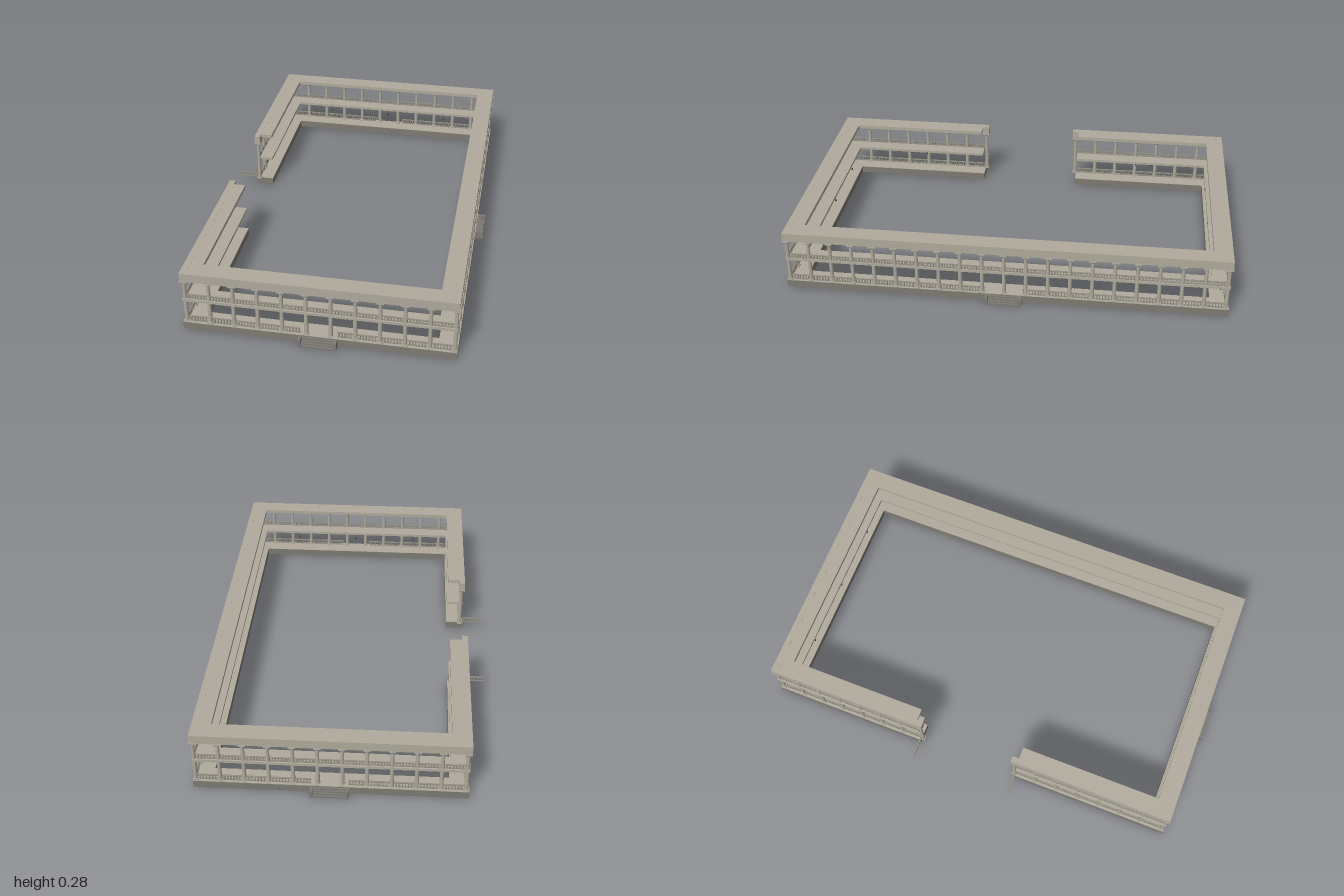
import * as THREE from 'three';
import { mergeGeometries } from 'three/addons/utils/BufferGeometryUtils.js';

const stone = new THREE.MeshStandardMaterial({ color: 0xb0aa9c });
stone.name = 'pale stone';
const baseGrey = new THREE.MeshStandardMaterial({ color: 0x7d7b72 });
baseGrey.name = 'base grey';
const railGrey = new THREE.MeshStandardMaterial({ color: 0x918d81 });
railGrey.name = 'railing grey';
const lampDark = new THREE.MeshStandardMaterial({ color: 0x4a4842 });
lampDark.name = 'lamp dark';

// Outer limits of the courtyard gallery
const W = -0.54, E = 0.585, N = 0.96;

const box = (w, h, d, x, y, z) => new THREE.BoxGeometry(w, h, d).translate(x, y + h / 2, z);

function add(group, name, geometries, material) {
  const mesh = new THREE.Mesh(mergeGeometries(geometries.map(g => g.toNonIndexed())), material);
  mesh.name = name;
  group.add(mesh);
}

// C-shaped slab, open in the middle of the west side
function gallery(inset, width, gap, y0, y1) {
  const x0 = W + inset, x1 = E - inset, z = N - inset;
  const points = [
    [x0, gap], [x0, z], [x1, z], [x1, -z], [x0, -z], [x0, -gap],
    [x0 + width, -gap], [x0 + width, -z + width], [x1 - width, -z + width],
    [x1 - width, z - width], [x0 + width, z - width], [x0 + width, gap],
  ].map(p => new THREE.Vector2(...p));
  const g = new THREE.ExtrudeGeometry(new THREE.Shape(points), { depth: y1 - y0, bevelEnabled: false });
  return g.rotateX(-Math.PI / 2).translate(0, y0, 0);
}

// Straight balustrade between two points, built along x and turned into place
function railing(ax, az, bx, bz, y, h) {
  const length = Math.hypot(bx - ax, bz - az);
  const parts = [
    box(length, 0.004, 0.007, length / 2, y + h - 0.004, 0),
    box(length, 0.003, 0.006, length / 2, y + 0.002, 0),
  ];
  const n = Math.max(2, Math.round(length / 0.0125));
  for (let i = 0; i < n; i++)
    parts.push(box(0.005, h - 0.004, 0.005, (i + 0.5) * length / n, y, 0));
  return mergeGeometries(parts).rotateY(-Math.atan2(bz - az, bx - ax)).translate(ax, 0, az);
}

// Tapered column with square plinth and capital
function column(x, z) {
  return mergeGeometries([
    box(0.022, 0.006, 0.022, 0, 0.035, 0),
    new THREE.CylinderGeometry(0.0075, 0.009, 0.19, 10).translate(0, 0.135, 0),
    new THREE.CylinderGeometry(0.012, 0.008, 0.008, 10).translate(0, 0.227, 0),
    box(0.03, 0.005, 0.03, 0, 0.231, 0),
  ]).translate(x, 0, z);
}

// Steps between two cheek walls, descending toward +z
function stairs(x, z, turn) {
  const parts = [-1, 1].map(s => box(0.012, 0.035, 0.036, s * 0.073, 0, 0.018));
  for (let i = 0; i < 4; i++)
    parts.push(box(0.136, 0.028 - i * 0.007, 0.008, 0, 0, 0.004 + i * 0.008));
  return mergeGeometries(parts).rotateY(turn).translate(x, 0, z);
}

export function createModel() {
  const model = new THREE.Group();
  model.name = 'courtyardGallery';

  // Base, floors and roof
  add(model, 'base', [gallery(0, 0.08, 0.235, 0, 0.033)], baseGrey);
  add(model, 'groundFloor', [gallery(0, 0.08, 0.235, 0.033, 0.035)], stone);
  add(model, 'upperFloor', [gallery(0.003, 0.077, 0.24, 0.137, 0.149)], stone);
  add(model, 'roofSlab', [gallery(0.004, 0.076, 0.245, 0.258, 0.2745)], stone);
  add(model, 'entablature', [gallery(0, 0.027, 0.215, 0.236, 0.275)], stone);

  // Columns along the outer edge
  const cx0 = -0.526, cx1 = 0.574, cz = 0.947;
  const columns = [];
  for (const s of [-1, 1]) {
    for (let i = 0; i < 12; i++) columns.push(column(cx0 + i * 0.1, s * cz));
    for (let i = 1; i < 8; i++) columns.push(column(cx0, s * (cz - i * 0.1025)));
  }
  for (let i = 1; i < 20; i++) columns.push(column(cx1, cz - i * cz / 10));
  add(model, 'columns', columns, stone);

  // Ground railings stop at the stairs, upper railings run through
  const low = [], high = [];
  for (const s of [-1, 1]) {
    low.push(railing(cx0, s * cz, -0.05, s * cz, 0.035, 0.025));
    low.push(railing(0.1, s * cz, cx1, s * cz, 0.035, 0.025));
    low.push(railing(cx1, s * cz, cx1, s * 0.08, 0.035, 0.025));
    low.push(railing(cx0, s * cz, cx0, s * 0.235, 0.035, 0.025));
    low.push(railing(-0.63, s * 0.235, cx0, s * 0.235, 0.036, 0.025));
    high.push(railing(cx0, s * cz, cx1, s * cz, 0.147, 0.021));
    high.push(railing(cx0, s * cz, cx0, s * 0.235, 0.147, 0.021));
  }
  high.push(railing(cx1, -cz, cx1, cz, 0.147, 0.021));
  add(model, 'groundRailings', low, railGrey);
  add(model, 'upperRailings', high, railGrey);

  // Stairs on the three closed sides
  add(model, 'stairs', [
    stairs(0.025, N, 0),
    stairs(0.025, -N, Math.PI),
    stairs(E, 0, Math.PI / 2),
  ], baseGrey);

  // Small lamps along the inner edge
  const lamps = [];
  const lamp = (x, z) => lamps.push(box(0.006, 0.01, 0.006, x, 0.11, z));
  for (const s of [-1, 1]) {
    for (const x of [-0.285, 0.025, 0.33]) lamp(x, s * 0.885);
    for (const z of [0.54, 0.62, 0.92]) {
      lamp(0.548, s * z);
      lamp(-0.5, s * z);
    }
  }
  add(model, 'lamps', lamps, lampDark);

  return model;
}
